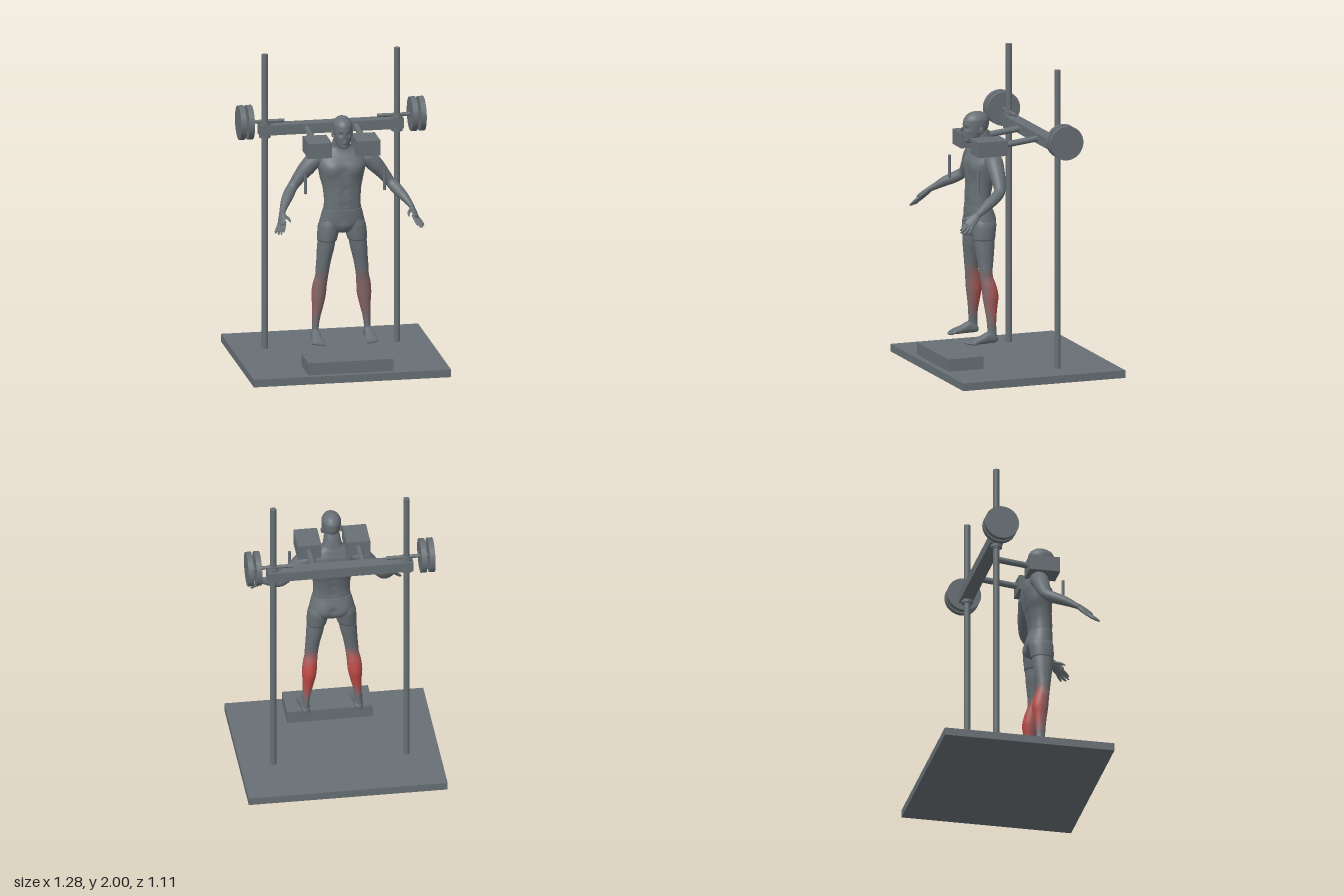
import * as THREE from 'three';

const mat = (name, color) => Object.assign(new THREE.MeshStandardMaterial({ color }), { name });
const V = (x, y, z) => new THREE.Vector3(x, y, z);
const UP = V(0, 1, 0), FORWARD = V(0, 0, 1);

// Smooth closed loft through [x, y, z, halfWidth, halfDepth] sections.
// axis fixes the section plane; without it sections follow the path.
// zone(y, sin) may give each face a material index.
function loft(keys, { axis, side = V(1, 0, 0), n = 28, steps = 5, power = 1, zone } = {}) {
  const path = new THREE.CatmullRomCurve3(keys.map(k => V(k[0], k[1], k[2])));
  const size = new THREE.CatmullRomCurve3(keys.map(k => V(k[3], k[4], 0)));
  const rows = (keys.length - 1) * steps, pos = [], buckets = [[]];
  const shape = v => Math.sign(v) * Math.abs(v) ** power;
  for (let i = 0; i <= rows; i++) {
    const c = path.getPoint(i / rows), r = size.getPoint(i / rows);
    const T = axis ? axis.clone() : path.getTangent(i / rows);
    const S = side.clone().addScaledVector(T, -side.dot(T)).normalize();
    const U = T.clone().cross(S);
    for (let j = 0; j < n; j++) {
      const a = j / n * Math.PI * 2;
      const p = c.clone().addScaledVector(S, r.x * shape(Math.cos(a))).addScaledVector(U, r.y * shape(Math.sin(a)));
      pos.push(p.x, p.y, p.z);
    }
  }
  for (const k of [keys[0], keys[keys.length - 1]]) pos.push(k[0], k[1], k[2]);
  const first = (rows + 1) * n, last = first + 1;
  for (let j = 0; j < n; j++) {
    const k = (j + 1) % n;
    buckets[0].push(first, k, j, last, rows * n + j, rows * n + k);
    for (let i = 0; i < rows; i++) {
      const m = zone ? zone(pos[(i * n + j) * 3 + 1], Math.sin((j + 0.5) / n * Math.PI * 2)) : 0;
      const a = i * n + j, b = i * n + k;
      (buckets[m] ??= []).push(a, b, b + n, a, b + n, a + n);
    }
  }
  const g = new THREE.BufferGeometry();
  g.setAttribute('position', new THREE.Float32BufferAttribute(pos, 3));
  g.setIndex(buckets.flat());
  if (zone) {
    let start = 0;
    buckets.forEach((b, m) => { g.addGroup(start, b.length, m); start += b.length; });
  }
  g.computeVertexNormals();
  return g;
}

// Raise or sink soft muscle forms: [x, y, z, radius, amount], mirrored across x.
function sculpt(g, bumps) {
  const p = g.attributes.position, q = V(), nrm = V();
  const all = bumps.flatMap(b => b[0] ? [b, [-b[0], ...b.slice(1)]] : [b]);
  for (let i = 0; i < p.count; i++) {
    q.fromBufferAttribute(p, i);
    nrm.fromBufferAttribute(g.attributes.normal, i);
    let d = 0;
    for (const [x, y, z, r, h] of all) d += h * Math.exp(-q.distanceToSquared(V(x, y, z)) / (r * r));
    q.addScaledVector(nrm, d);
    p.setXYZ(i, q.x, q.y, q.z);
  }
  g.computeVertexNormals();
  return g;
}

export function createModel() {
  const model = new THREE.Group();
  model.name = 'calfRaiseMachine';
  const grey = mat('steelGrey', 0x687075);
  const calfMats = [grey, mat('faintRose', 0x766c70), mat('paleRose', 0x86696b), mat('rose', 0x9a605f),
    mat('softRed', 0xae5552), mat('muscleRed', 0xbe4a46)];
  const add = (name, geo, x = 0, y = 0, z = 0, material = grey) => {
    const m = new THREE.Mesh(geo, material);
    m.name = name;
    m.position.set(x, y, z);
    model.add(m);
    return m;
  };
  const box = (name, w, h, d, x, y, z) => add(name, new THREE.BoxGeometry(w, h, d), x, y, z);
  const rod = (name, r, a, b, seg = 24) => {
    const dir = b.clone().sub(a), mid = a.clone().add(b).multiplyScalar(0.5);
    const m = add(name, new THREE.CylinderGeometry(r, r, dir.length(), seg), mid.x, mid.y, mid.z);
    m.quaternion.setFromUnitVectors(UP, dir.normalize());
    return m;
  };

  // Machine: floor plate, foot block and sliding beam
  box('floorPlate', 1.284, 0.05, 1.11, 0, 0.025, 0);
  box('footBlock', 0.555, 0.08, 0.24, -0.002, 0.09, 0.395);
  box('crossBeam', 0.94, 0.066, 0.085, 0, 1.502, -0.177);
  for (const s of [1, -1]) {
    rod('blockBolt', 0.012, V(s * 0.258, 0.12, 0.297), V(s * 0.258, 0.133, 0.297), 16);
    rod('upright', 0.02, V(s * 0.43, 0.05, -0.172), V(s * 0.43, 2, -0.172));
    rod('collarSleeve', 0.028, V(s * 0.43, 1.445, -0.172), V(s * 0.43, 1.563, -0.172));
    rod('collarTop', 0.037, V(s * 0.43, 1.534, -0.172), V(s * 0.43, 1.548, -0.172));
    rod('collarBottom', 0.037, V(s * 0.43, 1.45, -0.172), V(s * 0.43, 1.472, -0.172));
    rod('weightPeg', 0.012, V(s * 0.303, 1.555, -0.172), V(s * 0.6, 1.555, -0.172));
    rod('innerWeight', 0.111, V(s * 0.515, 1.555, -0.172), V(s * 0.55, 1.555, -0.172), 48);
    rod('outerWeight', 0.111, V(s * 0.568, 1.555, -0.172), V(s * 0.603, 1.555, -0.172), 48);
    rod('padArm', 0.02, V(s * 0.16, 1.503, -0.15), V(s * 0.16, 1.475, 0.1));
    box('shoulderPad', 0.153, 0.1, 0.2, s * 0.158, 1.47, 0.19);
    rod('handle', 0.01, V(s * 0.257, 1.195, 0.302), V(s * 0.257, 1.345, 0.302), 16);
  }

  // Torso and neck
  const spine = [1.1, 1.16, 1.22, 1.28, 1.34].map(y => [0, y, 0.135 - (y - 1.1) * 0.17, 0.03, -0.007]);
  const abs = [1.13, 1.185, 1.24].map(y => [0.033, y, 0.28, 0.024, 0.004]);
  add('torso', sculpt(loft([
    [0, 1.0, 0.205, 0.108, 0.068], [0, 1.06, 0.208, 0.12, 0.074], [0, 1.12, 0.208, 0.118, 0.073],
    [0, 1.2, 0.2, 0.124, 0.078], [0, 1.28, 0.19, 0.14, 0.087], [0, 1.35, 0.185, 0.155, 0.088],
    [0, 1.4, 0.175, 0.15, 0.075], [0, 1.44, 0.168, 0.105, 0.057], [0, 1.47, 0.17, 0.063, 0.05],
    [0, 1.52, 0.185, 0.052, 0.052], [0, 1.56, 0.195, 0.045, 0.045],
  ], { axis: UP, n: 64, steps: 8, power: 0.88 }), [
    [0.072, 1.325, 0.265, 0.055, 0.014], [0, 1.32, 0.275, 0.022, -0.006], [0, 1.19, 0.28, 0.014, -0.004],
    [0.075, 1.36, 0.1, 0.06, 0.008], [0.12, 1.27, 0.14, 0.05, 0.008], [0, 1.095, 0.28, 0.009, -0.006],
    ...spine, ...abs,
  ]));

  // Head with nose and ears
  add('head', sculpt(loft([
    [0, 1.473, 0.265, 0.012, 0.015], [0, 1.482, 0.262, 0.03, 0.034], [0, 1.515, 0.24, 0.049, 0.062],
    [0, 1.55, 0.227, 0.057, 0.079], [0, 1.585, 0.221, 0.061, 0.086], [0, 1.62, 0.218, 0.062, 0.085],
    [0, 1.65, 0.216, 0.05, 0.069], [0, 1.668, 0.215, 0.03, 0.041], [0, 1.676, 0.215, 0.005, 0.007],
  ], { axis: UP, n: 56, steps: 8 }), [
    [0.026, 1.573, 0.297, 0.014, -0.01], [0.024, 1.592, 0.298, 0.012, 0.004], [0.036, 1.55, 0.28, 0.018, 0.003],
    [0, 1.517, 0.302, 0.013, 0.007], [0, 1.505, 0.3, 0.008, -0.004], [0, 1.488, 0.295, 0.014, 0.005],
  ]));
  add('nose', loft([[0, 1.59, 0.3, 0.006, 0.005], [0, 1.565, 0.308, 0.008, 0.01],
    [0, 1.547, 0.311, 0.014, 0.014], [0, 1.538, 0.305, 0.007, 0.007]], { axis: UP, n: 16 }));

  // Shorts
  add('shortsHips', sculpt(loft([
    [0, 1.067, 0.208, 0.124, 0.078], [0, 1.02, 0.203, 0.136, 0.083], [0, 0.97, 0.199, 0.146, 0.083],
    [0, 0.935, 0.198, 0.125, 0.072], [0, 0.91, 0.2, 0.05, 0.05],
  ].reverse(), { axis: UP, n: 56, steps: 8, power: 0.92 }), [
    [0.065, 0.975, 0.12, 0.055, 0.014], [0, 0.98, 0.115, 0.022, -0.012], [0, 0.95, 0.28, 0.035, 0.008],
  ]));

  // Calves redden towards the back and middle of the muscle
  const heat = (y, back) => {
    const v = Math.max(0, 1 - Math.abs((y - 0.475) / 0.2) ** 2.4);
    return Math.min(5, Math.round(5.2 * v * (0.38 + 0.62 * (0.5 + 0.5 * back))));
  };

  for (const s of [1, -1]) {
    const limb = (name, keys, opts) => add(name, loft(keys.map(([x, ...r]) => [x * s, ...r]), opts));
    const ear = add('ear', new THREE.SphereGeometry(1, 16, 12), s * 0.062, 1.558, 0.205);
    ear.scale.set(0.008, 0.024, 0.014);

    // Shorts leg, leg and foot
    limb('shortsLeg', [[0.098, 0.856, 0.203, 0.062, 0.073], [0.092, 0.9, 0.201, 0.068, 0.077],
      [0.085, 0.95, 0.197, 0.07, 0.08], [0.075, 1.0, 0.198, 0.06, 0.07]], { axis: UP });
    const leg = limb('leg', [
      [0.172, 0.225, 0.176, 0.022, 0.033], [0.168, 0.28, 0.176, 0.021, 0.03], [0.163, 0.34, 0.177, 0.026, 0.032],
      [0.153, 0.42, 0.177, 0.037, 0.042], [0.147, 0.5, 0.178, 0.047, 0.052], [0.142, 0.56, 0.187, 0.046, 0.049],
      [0.132, 0.62, 0.2, 0.042, 0.043], [0.128, 0.66, 0.203, 0.044, 0.045], [0.12, 0.72, 0.203, 0.047, 0.053],
      [0.108, 0.8, 0.203, 0.055, 0.064], [0.098, 0.875, 0.203, 0.058, 0.069],
    ], { axis: UP, n: 36, steps: 7, zone: heat });
    leg.material = calfMats;
    limb('foot', [[0.17, 0.213, 0.14, 0.012, 0.014], [0.17, 0.22, 0.158, 0.026, 0.028], [0.172, 0.229, 0.2, 0.029, 0.038],
      [0.174, 0.217, 0.25, 0.034, 0.027], [0.174, 0.207, 0.3, 0.039, 0.017], [0.174, 0.202, 0.322, 0.036, 0.01]],
    { axis: FORWARD, power: 0.9 });
    for (let i = 0; i < 5; i++) {
      const toe = add('toe', new THREE.SphereGeometry(1, 12, 10), s * (0.145 + i * 0.0155), 0.2, 0.332 - i * i * 0.0018);
      toe.scale.set(i ? 0.008 : 0.011, 0.01, 0.023);
    }

    // Arm, palm and fingers
    const opts = { side: V(0.7 * s, 0.7, 0), n: 24 };
    limb('arm', [
      [0.12, 1.385, 0.165, 0.04, 0.045], [0.175, 1.375, 0.165, 0.054, 0.058], [0.222, 1.33, 0.168, 0.052, 0.054],
      [0.275, 1.268, 0.17, 0.041, 0.045], [0.32, 1.21, 0.182, 0.034, 0.036], [0.35, 1.178, 0.222, 0.036, 0.036],
      [0.385, 1.143, 0.288, 0.03, 0.033], [0.415, 1.105, 0.35, 0.019, 0.023], [0.424, 1.09, 0.378, 0.016, 0.022],
    ], opts);
    limb('palm', [[0.421, 1.096, 0.368, 0.016, 0.021], [0.43, 1.07, 0.4, 0.015, 0.032],
      [0.438, 1.045, 0.43, 0.013, 0.035], [0.442, 1.033, 0.445, 0.007, 0.028]], opts);
    const fingers = {
      thumb: [0.41, 1.083, 0.395, 0.391, 1.07, 0.43, 0.385, 1.058, 0.46],
      indexFinger: [0.418, 1.053, 0.435, 0.43, 1.02, 0.475, 0.435, 1.003, 0.495],
      middleFinger: [0.433, 1.043, 0.435, 0.447, 1.01, 0.475, 0.452, 0.99, 0.5],
      ringFinger: [0.446, 1.035, 0.43, 0.463, 1.0, 0.465, 0.468, 0.985, 0.486],
      littleFinger: [0.455, 1.03, 0.42, 0.476, 1.0, 0.445, 0.483, 0.988, 0.456],
    };
    for (const [name, f] of Object.entries(fingers))
      limb(name, [[...f.slice(0, 3), 0.01, 0.01], [...f.slice(3, 6), 0.009, 0.009], [...f.slice(6), 0.004, 0.004]],
        { ...opts, n: 12 });
  }
  return model;
}
